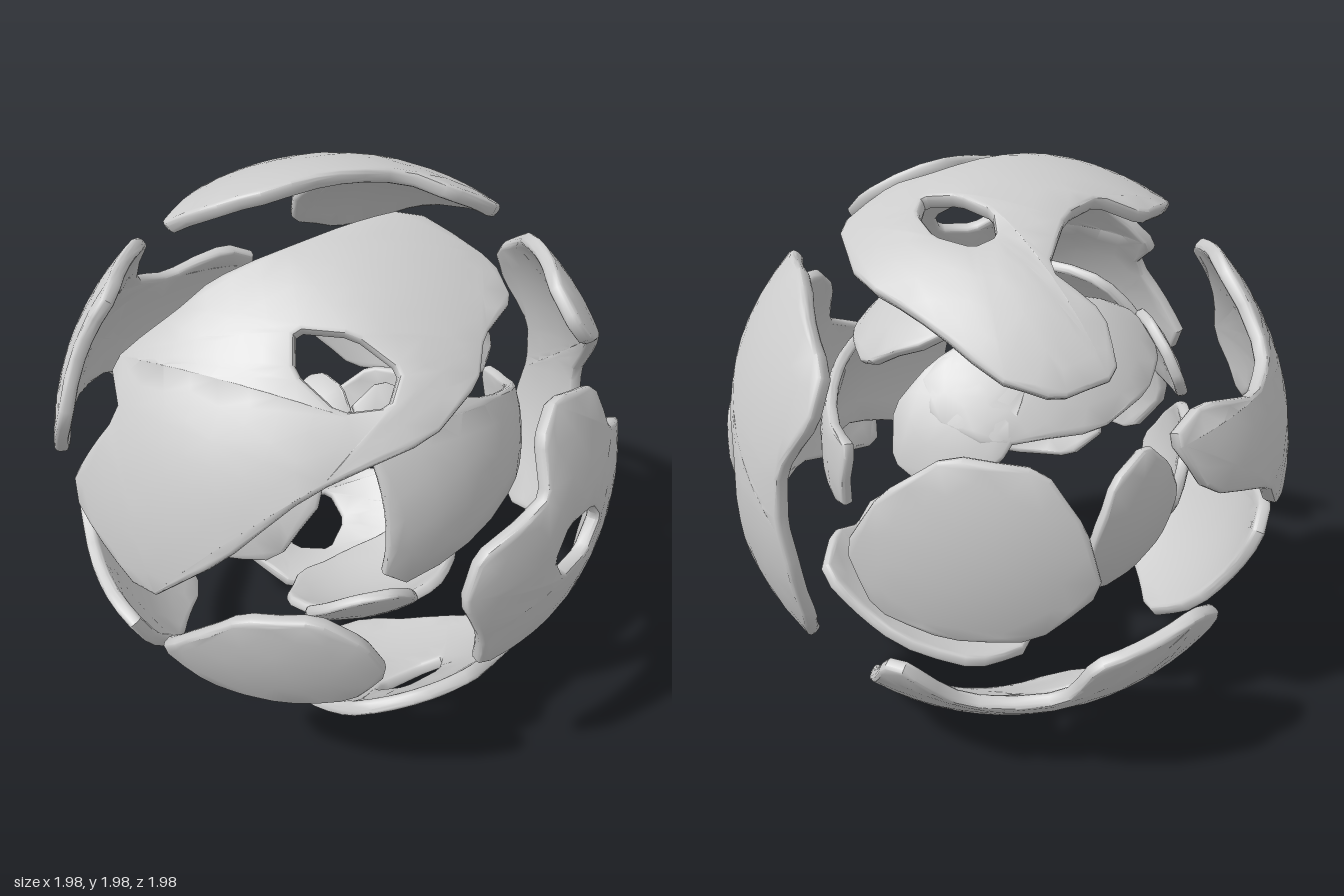
import * as THREE from 'three';
import { mergeVertices, toCreasedNormals } from 'three/addons/utils/BufferGeometryUtils.js';

const V = (x, y, z) => new THREE.Vector3(x, y, z);

// A viewing plane: number pairs become points that are lifted onto a sphere of any radius
const view = (r, u, c, mid = 0) => (...n) => {
  const pts = [];
  for (let i = 0; i < n.length; i += 2) {
    const a = n[i], b = n[i + 1] - mid;
    pts.push(R => V(0, 0, 0).addScaledVector(r, a).addScaledVector(u, b)
      .addScaledVector(c, Math.sqrt(Math.max(0, R * R - a * a - b * b))).normalize());
  }
  return pts;
};
const X = V(1, 0, 0), Y = V(0, 1, 0), Z = V(0, 0, 1);
const F = view(X, Y, Z, 1);                                  // front: x, y
const T = view(X, Z, Y);                                     // top: x, z
const D = view(X, Z, V(0, -1, 0));                           // bottom: x, z
const L = view(Z, Y, X, 1);                                  // +x side: z, y
const R = view(Z, Y, V(-1, 0, 0), 1);                        // -x side: z, y
// Tilted planes, from azimuth and elevation in degrees
const tilted = (az, el) => {
  const c = V(0, 0, 1).applyEuler(new THREE.Euler(-el * Math.PI / 180, az * Math.PI / 180, 0, 'YXZ'));
  const r = Y.clone().cross(c).normalize();
  return view(r, c.clone().cross(r), c);
};
const FR = tilted(35, 25), BL = tilted(215, 25), BR = tilted(145, -30);

// A slightly three-lobed oval outline, for small plates and for holes
const blob = (plane, cx, cy, rx, ry, corners = 9) => {
  const n = [];
  for (let i = 0; i < corners; i++) {
    const a = i / corners * 2 * Math.PI, w = 1 + 0.08 * Math.cos(3 * a + 1);
    n.push(cx + rx * w * Math.cos(a), cy + ry * w * Math.sin(a));
  }
  return plane(...n);
};

// Soften the corners of a closed outline
const soften = p => p.flatMap((a, i) => {
  const b = p[(i + 1) % p.length];
  return [a.clone().lerp(b, 0.15), a.clone().lerp(b, 0.85)];
});

// Halve every long edge so that flat triangles can follow the sphere
function refine(tri, limit, out) {
  let k = 0, best = 0;
  for (let i = 0; i < 3; i++) {
    const d = tri[i].distanceTo(tri[(i + 1) % 3]);
    if (d > best) { best = d; k = i; }
  }
  if (best <= limit) { out.push(...tri); return; }
  const a = tri[k], b = tri[(k + 1) % 3], c = tri[(k + 2) % 3];
  const m = a.clone().add(b).multiplyScalar(0.5);
  refine([a, m, c], limit, out);
  refine([m, b, c], limit, out);
}

// A curved plate: outline and hole are unrolled, extruded with a bevel and bent to the sphere
function plateGeometry(radius, thick, outline, hole) {
  const dirs = outline.map(f => f(radius));
  const n = dirs.reduce((s, d) => s.add(d), V(0, 0, 0)).normalize();
  const e1 = (Math.abs(n.y) < 0.9 ? Y : X).clone().cross(n).normalize();
  const e2 = n.clone().cross(e1);
  const flat = d => {
    const t = Math.acos(THREE.MathUtils.clamp(d.dot(n), -1, 1)) * radius;
    return new THREE.Vector2(d.dot(e1), d.dot(e2)).normalize().multiplyScalar(t);
  };
  const ring = ds => {
    const p = soften(ds.map(flat));
    return THREE.ShapeUtils.isClockWise(p) ? p.reverse() : p;
  };
  const shape = new THREE.Shape(ring(dirs));
  if (hole) shape.holes.push(new THREE.Path(ring(hole.map(f => f(radius)))));
  const bevel = thick * 0.3;
  const flatPlate = new THREE.ExtrudeGeometry(shape, {
    depth: thick - 2 * bevel, bevelThickness: bevel, bevelSize: bevel, bevelOffset: -bevel / 2, bevelSegments: 2,
  });
  const src = flatPlate.attributes.position, pts = [];
  for (let i = 0; i < src.count; i += 3) {
    refine([0, 1, 2].map(k => V(0, 0, 0).fromBufferAttribute(src, i + k)), 0.13, pts);
  }
  const bent = pts.map(p => {
    const len = Math.hypot(p.x, p.y), t = len / radius, s = len > 1e-9 ? Math.sin(t) / len : 0;
    return V(0, 0, 0).addScaledVector(n, Math.cos(t)).addScaledVector(e1, p.x * s)
      .addScaledVector(e2, p.y * s).multiplyScalar(radius - thick + bevel + p.z);
  });
  return toCreasedNormals(mergeVertices(new THREE.BufferGeometry().setFromPoints(bent), 1e-5), 0.8);
}

export function createModel() {
  const model = new THREE.Group();
  const material = new THREE.MeshStandardMaterial({ color: 0xcccccc });

  // A shell is a group of plates at one radius; returns a function that adds a plate
  const makeShell = (shellName, radius, thick) => {
    const shell = new THREE.Group();
    shell.name = shellName;
    shell.position.y = 1;
    model.add(shell);
    return (name, outline, hole) => {
      const mesh = new THREE.Mesh(plateGeometry(radius, thick, outline, hole), material);
      mesh.name = name;
      shell.add(mesh);
    };
  };

  // Outer shell
  const outer = makeShell('outerShell', 0.992, 0.05);
  outer('upperFrontRightPlate', [
    ...T(-.98, -.09, -.87, .11, -.82, -.02, -.66, .11, -.55, .14, -.31, .25, .06, .3, .2, .53),
    ...F(.18, 1.74, .01, 1.7, -.07, 1.61, -.26, 1.51, -.6, 1.39, -.81, 1.16, -.94, .92)],
  blob(F, -.4, 1.67, .13, .1, 6));
  outer('backRightPlate',
    BL(-.71, .05, -.6, .08, -.38, -.04, -.16, .01, 0, .32, .39, .32, .47, .12, .59, -.1, .47, -.35, .29, -.28,
      -.06, -.35, -.19, -.47, -.29, -.45, -.38, -.34, -.66, -.17),
    blob(BL, .17, .02, .1, .11, 7));
  outer('topPlate',
    T(-.47, -.32, -.31, -.42, -.13, -.48, -.02, -.38, .16, -.4, .35, -.5, .29, -.67, .34, -.77, .51, -.7, .62, -.56,
      .68, -.05, .53, .22, .33, .19, .24, .08, -.23, -.03, -.38, -.16),
    blob(T, .4, -.18, .09, .17, 7));
  outer('frontPlate',
    F(-.23, .98, -.18, 1.14, -.02, 1.2, .09, 1.24, .1, 1.41, .2, 1.49, .43, 1.43, .49, 1.26, .66, 1.19, .75, 1.1,
      .77, .92, .62, .65, .33, .7, .17, .66, -.1, .63, -.14, .8),
    blob(F, .26, 1, .15, .12, 6));
  outer('leftSidePlate',
    L(.66, 1.5, .64, 1.58, .53, 1.68, .22, 1.69, -.09, 1.5, -.1, 1.35, .01, 1.18, .01, 1, -.02, .85, 0, .62, .15, .44,
      .38, .5, .43, .6, .32, .85, .3, 1.1, .39, 1.23, .51, 1.39));
  outer('lowerBackLeftPlate',
    BR(-.55, -.5, -.56, -.36, -.53, -.06, -.46, -.03, -.27, -.22, .06, -.19, .12, .07, .3, .1, .48, .12, .59, .01,
      .58, -.22, .48, -.47, .16, -.71, -.3, -.59),
    blob(BR, .1, -.44, .16, .14, 6));
  outer('bottomPlate', [...F(-.37, .36, -.2, .41, 0, .43, .14, .37, .28, .4, .45, .34), ...D(.33, .27, .14, .03, -.1, -.04, -.38, .25)],
    blob(F, -.02, .165, .17, .05, 6));
  outer('lowerBackRightPlate', BL(-.08, -.68, .04, -.61, .31, -.59, .45, -.64, .78, -.55, .71, -.67, .5, -.85, .13, -.97, 0, -.92));
  outer('backLeftPlate', blob(L, -.58, 1.03, .29, .3));
  outer('lowerFrontRightPlate', blob(F, -.67, .74, .23, .24));

  // Middle shell
  const middle = makeShell('middleShell', 0.665, 0.04);
  middle('innerFrontPlate', [...F(-.25, .77, -.27, 1.42, -.15, 1.48, -.04, 1.42),
    ...FR(-.12, .06, .33, -.1, .48, -.08, .43, -.34, 0, -.3)]);
  middle('innerRightPlate', blob(R, .1, 1.18, .38, .37));
  middle('innerTopPlate', blob(T, .16, .13, .36, .35));
  middle('innerUpperBackPlate', blob(BL, -.34, .26, .29, .21));
  middle('innerBackRightPlate', blob(BL, .2, .02, .19, .17));
  middle('innerLowerBackPlate', blob(BL, .12, -.35, .27, .17));
  middle('innerLowerFrontPlate', blob(F, -.21, .6, .17, .12));
  middle('innerBottomPlate', blob(D, .05, .19, .36, .28));
  middle('innerLowerLeftPlate', blob(BR, -.2, .03, .26, .22));
  middle('innerUpperLeftPlate', blob(L, -.27, 1.3, .18, .23));
  middle('innerBackPlate', blob(BR, .33, .14, .18, .26));

  // Small fragments at the heart
  const core = makeShell('core', 0.32, 0.03);
  core('coreRightFragment', blob(T, -.13, .13, .06, .13));
  core('coreFrontFragment', blob(F, .17, .99, .08, .09));
  return model;
}
